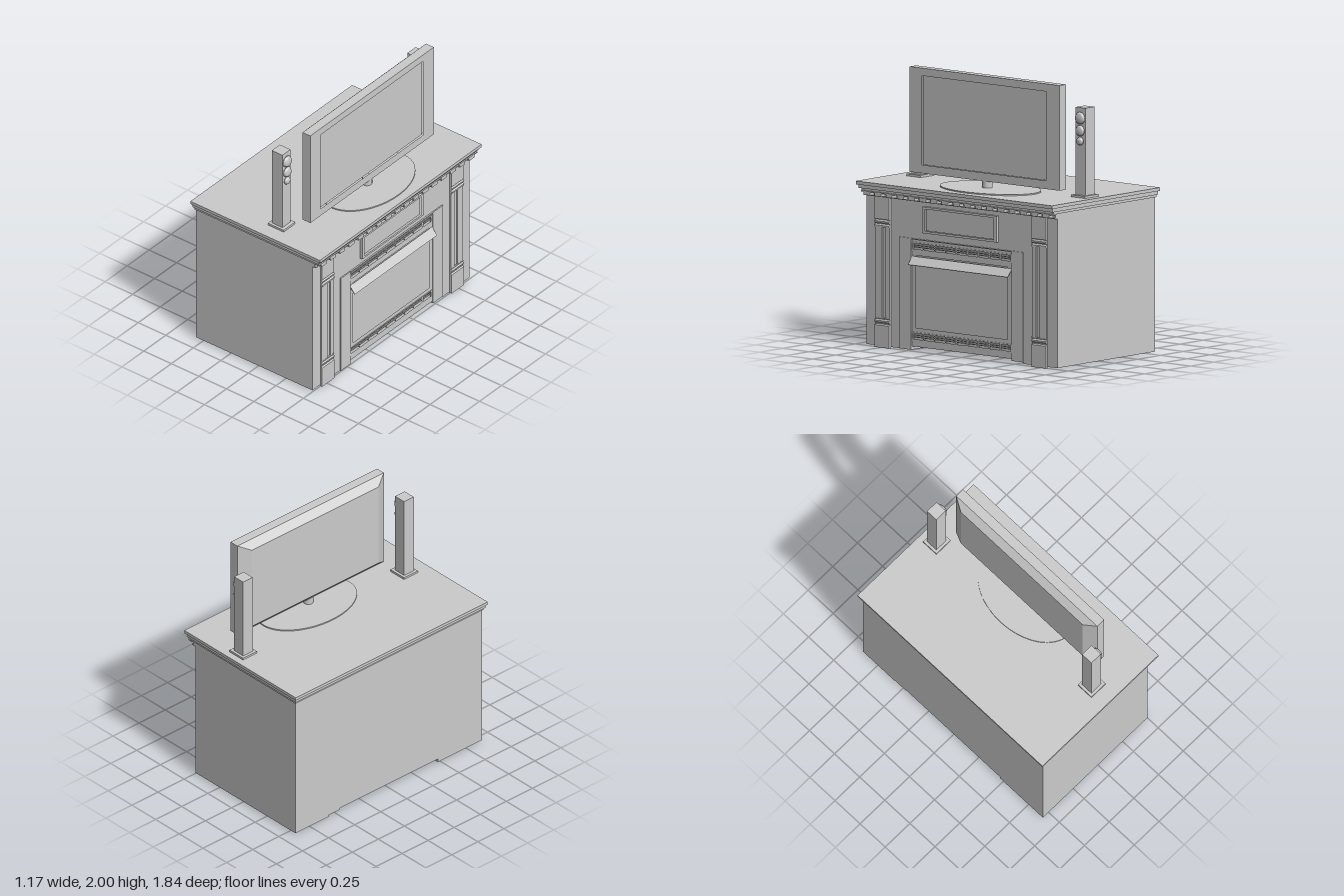
import * as THREE from 'three';

const material = new THREE.MeshStandardMaterial({ color: 0xcccccc });

function add(parent, name, geometry) {
  const mesh = new THREE.Mesh(geometry, material);
  mesh.name = name;
  parent.add(mesh);
  return mesh;
}

// Box given by its limits on each axis
function box(parent, name, [x0, x1], [y0, y1], [z0, z1]) {
  const mesh = add(parent, name, new THREE.BoxGeometry(x1 - x0, y1 - y0, z1 - z0));
  mesh.position.set((x0 + x1) / 2, (y0 + y1) / 2, (z0 + z1) / 2);
  return mesh;
}

// Rectangle outline in the (-z, y) plane
function rect(PathType, [y0, y1], [z0, z1]) {
  const p = new PathType();
  p.moveTo(-z0, y0).lineTo(-z1, y0).lineTo(-z1, y1).lineTo(-z0, y1).closePath();
  return p;
}

// Upright panel facing +x with rectangular openings [yRange, zRange]
function panel(parent, name, [x0, x1], y, z, openings) {
  const shape = rect(THREE.Shape, y, z);
  shape.holes = openings.map(([oy, oz]) => rect(THREE.Path, oy, oz));
  const geo = new THREE.ExtrudeGeometry(shape, { depth: x1 - x0, bevelEnabled: false });
  geo.rotateY(Math.PI / 2).translate(x0, 0, 0);
  return add(parent, name, geo);
}

// Profile in (x, y) run along z
function run(parent, name, points, [z0, z1]) {
  const shape = new THREE.Shape(points.map(([x, y]) => new THREE.Vector2(x, y)));
  const geo = new THREE.ExtrudeGeometry(shape, { depth: z1 - z0, bevelEnabled: false });
  return add(parent, name, geo.translate(0, 0, z0));
}

function buildCabinet() {
  const g = new THREE.Group();
  g.name = 'cabinet';
  const back = -0.56, face = 0.497;
  box(g, 'leftBody', [back, face], [0.01, 1.13], [0.47, 0.895]);
  box(g, 'rightBody', [back, face], [0.01, 1.13], [-0.895, -0.58]);
  box(g, 'rightInnerBody', [back, face], [0.022, 1.13], [-0.58, -0.47]);
  box(g, 'upperBody', [back, face], [0.81, 1.13], [-0.47, 0.47]);
  box(g, 'fireboxBody', [back, 0.475], [0.035, 0.81], [-0.47, 0.47]);

  // Cornice steps and slab
  box(g, 'lowerCornice', [-0.568, 0.545], [1.118, 1.136], [-0.902, 0.902]);
  box(g, 'middleCornice', [-0.578, 0.565], [1.136, 1.163], [-0.91, 0.91]);
  box(g, 'topSlab', [-0.59, 0.585], [1.163, 1.187], [-0.92, 0.92]);

  // Tooth moulding under the front edge
  box(g, 'frieze', [face, 0.515], [1.08, 1.12], [-0.895, 0.895]);
  box(g, 'toothRail', [0.515, 0.56], [1.112, 1.12], [-0.905, 0.895]);
  box(g, 'toothLedge', [0.515, 0.53], [1.083, 1.09], [-0.895, 0.895]);
  for (let i = -8; i <= 8; i++) {
    const z = i * 0.105;
    box(g, 'tooth', [0.515, 0.56], [1.09, 1.112], [z - 0.03, z + 0.03]);
  }

  // Pilasters: profiled base and capital with a grooved shaft
  const base = [[face, 0], [0.515, 0], [0.515, 0.16], [0.506, 0.168], [0.506, 0.176],
    [0.515, 0.183], [0.515, 0.193], [0.505, 0.203], [0.512, 0.207], [0.512, 0.215], [face, 0.215]];
  const capital = [[face, 0.865], [0.516, 0.865], [0.516, 0.877], [0.506, 0.887], [0.516, 0.897],
    [0.516, 0.907], [0.506, 0.917], [0.514, 0.922], [0.514, 1.08], [face, 1.08]];
  for (const s of [1, -1]) {
    const span = (a, b) => (s > 0 ? [a, b] : [-b, -a]);
    run(g, 'pilasterBase', base, span(0.668, 0.805));
    run(g, 'pilasterCapital', capital, span(0.668, 0.805));
    box(g, 'pilasterShaftOuter', [face, 0.51], [0.215, 0.865], span(0.738, 0.805));
    box(g, 'pilasterGroove', [face, 0.502], [0.215, 0.865], span(0.707, 0.738));
    box(g, 'pilasterShaftInner', [face, 0.51], [0.215, 0.865], span(0.668, 0.707));
    box(g, 'surroundLeg', [face, 0.505], [s > 0 ? 0.01 : 0.022, 0.81], span(0.47, 0.58));
  }

  // Framed drawer front
  panel(g, 'drawerFrame', [face, 0.52], [0.86, 1.05], [-0.345, 0.355],
    [[[0.877, 1.034], [-0.317, 0.329]]]);
  box(g, 'drawerPanel', [face, 0.506], [0.877, 1.034], [-0.317, 0.329]);
  return g;
}

function buildFireplace() {
  const g = new THREE.Group();
  g.name = 'fireplaceInsert';
  const rows = [[0.088, 0.13], [0.735, 0.775]];
  const openings = [[[0.17, 0.69], [-0.43, 0.43]]];
  for (const [y0, y1] of rows) {
    for (let i = -4; i <= 4; i++) {
      const z = i * 0.103;
      openings.push([[y0, y1], [z - 0.045, z + 0.045]]);
    }
    // Louvres behind each row of slots
    for (const t of [0.33, 0.67]) {
      const y = y0 + (y1 - y0) * t;
      box(g, 'louvre', [0.475, 0.49], [y - 0.003, y + 0.003], [-0.46, 0.46]);
    }
  }
  panel(g, 'insertFace', [0.475, 0.497], [0.035, 0.805], [-0.47, 0.47], openings);
  for (const [y0, y1] of rows) {
    panel(g, 'ventFrame', [0.497, 0.502], [y0 - 0.012, y1 + 0.01], [-0.468, 0.468],
      [[[y0 - 0.002, y1 + 0.002], [-0.459, 0.459]]]);
  }
  box(g, 'insertTopLip', [0.49, 0.508], [0.803, 0.81], [-0.468, 0.468]);
  run(g, 'hood', [[0.494, 0.675], [0.538, 0.622], [0.542, 0.626], [0.497, 0.682]], [-0.468, 0.468]);
  return g;
}

function buildTelevision() {
  const g = new THREE.Group();
  g.name = 'television';
  const yOuter = [1.245, 2], zOuter = [-0.74, 0.665];
  const yScreen = [1.305, 1.945], zScreen = [-0.615, 0.55];
  panel(g, 'bezel', [0.225, 0.295], yOuter, zOuter, [[yScreen, zScreen]]);
  box(g, 'screen', [0.226, 0.283], yScreen, zScreen);

  // Tapered rear shell
  const shell = box(g, 'rearShell', [0.175, 0.225], yOuter, zOuter);
  const p = shell.geometry.attributes.position;
  for (let i = 0; i < p.count; i++) {
    if (p.getX(i) < 0) {
      p.setY(i, p.getY(i) - Math.sign(p.getY(i)) * 0.055);
      p.setZ(i, p.getZ(i) - Math.sign(p.getZ(i)) * 0.096);
    }
  }
  shell.geometry = shell.geometry.toNonIndexed();
  shell.geometry.computeVertexNormals();

  const neck = add(g, 'neck', new THREE.CylinderGeometry(0.036, 0.036, 0.065, 24));
  neck.position.set(0.257, 1.22, -0.03);
  const foot = add(g, 'foot', new THREE.CylinderGeometry(1, 1, 0.01, 64));
  foot.scale.set(0.272, 1, 0.413);
  foot.position.set(0.248, 1.191, -0.053);
  return g;
}

function buildSpeaker(z) {
  const g = new THREE.Group();
  g.name = 'speaker';
  box(g, 'speakerFoot', [0.022, 0.165], [1.186, 1.203], [-0.066, 0.066]);
  box(g, 'speakerColumn', [0.042, 0.138], [1.203, 1.83], [-0.046, 0.046]);
  // Rounded drivers, largest at the top
  for (const [y, r] of [[1.755, 0.043], [1.665, 0.039], [1.59, 0.029]]) {
    const profile = [[0, 0], [r, 0], [r, 0.01], [r * 0.85, 0.016], [r * 0.75, 0.024], [0, 0.026]];
    const geo = new THREE.LatheGeometry(profile.map(([a, b]) => new THREE.Vector2(a, b)), 28);
    const driver = add(g, 'driver', geo);
    driver.rotation.z = -Math.PI / 2;
    driver.position.set(0.138, y, 0);
  }
  g.position.z = z;
  return g;
}

export function createModel() {
  const model = new THREE.Group();
  model.name = 'fireplaceMediaCabinet';
  model.add(buildCabinet(), buildFireplace(), buildTelevision(), buildSpeaker(0.74), buildSpeaker(-0.803));
  return model;
}
